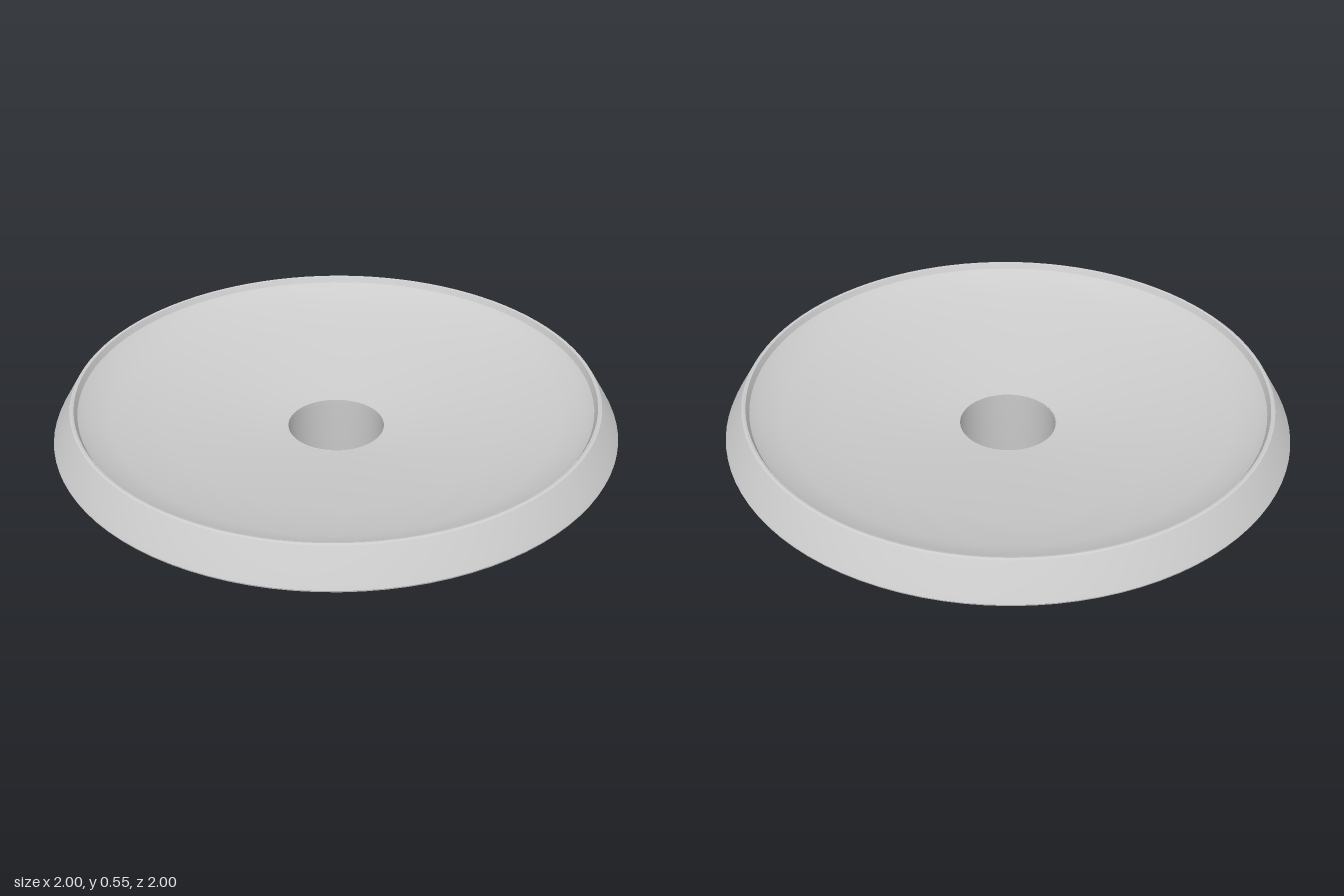
import * as THREE from 'three';
import { toCreasedNormals } from 'three/addons/utils/BufferGeometryUtils.js';

const material = new THREE.MeshStandardMaterial({ color: 0xcccccc, side: THREE.DoubleSide });

// Revolves a profile of [radius, height] pairs, keeping sharp corners crisp
function turned(name, profile) {
  const points = profile.map(([r, y]) => new THREE.Vector2(r, y));
  const geometry = toCreasedNormals(new THREE.LatheGeometry(points, 96), 0.5);
  const mesh = new THREE.Mesh(geometry, material);
  mesh.name = name;
  return mesh;
}

export function createModel() {
  const group = new THREE.Group();
  group.name = 'pedestalDish';

  // Hollow stem: rounded foot, tapered outside, open well inside
  const stem = turned('stem', [
    [0, 0], [0.17, 0.002], [0.195, 0.006], [0.212, 0.013], [0.221, 0.025], [0.223, 0.042],
    [0.212, 0.2], [0.2, 0.354], [0.176, 0.362],
    [0.18, 0.2], [0.19, 0.04], [0.18, 0.025], [0, 0.025],
  ]);

  // Thin shallow dish with a flared rim hanging below its edge
  const dish = turned('dish', [
    // underside
    [0.176, 0.35], [0.2, 0.35], [0.4, 0.382], [0.62, 0.421], [0.78, 0.457], [0.88, 0.484], [0.93, 0.5],
    // inside and lip of the rim
    [0.975, 0.424], [0.98, 0.42], [0.99, 0.42], [0.998, 0.424], [1, 0.43],
    // outside of the rim
    [0.993, 0.444], [0.932, 0.54], [0.925, 0.543], [0.918, 0.541],
    // bowl surface
    [0.908, 0.52], [0.88, 0.502], [0.8, 0.473], [0.62, 0.432], [0.4, 0.396], [0.24, 0.371], [0.176, 0.364],
    [0.176, 0.35],
  ]);
  // The dish leans very slightly forward
  dish.rotation.x = 0.009;

  group.add(stem, dish);
  return group;
}
